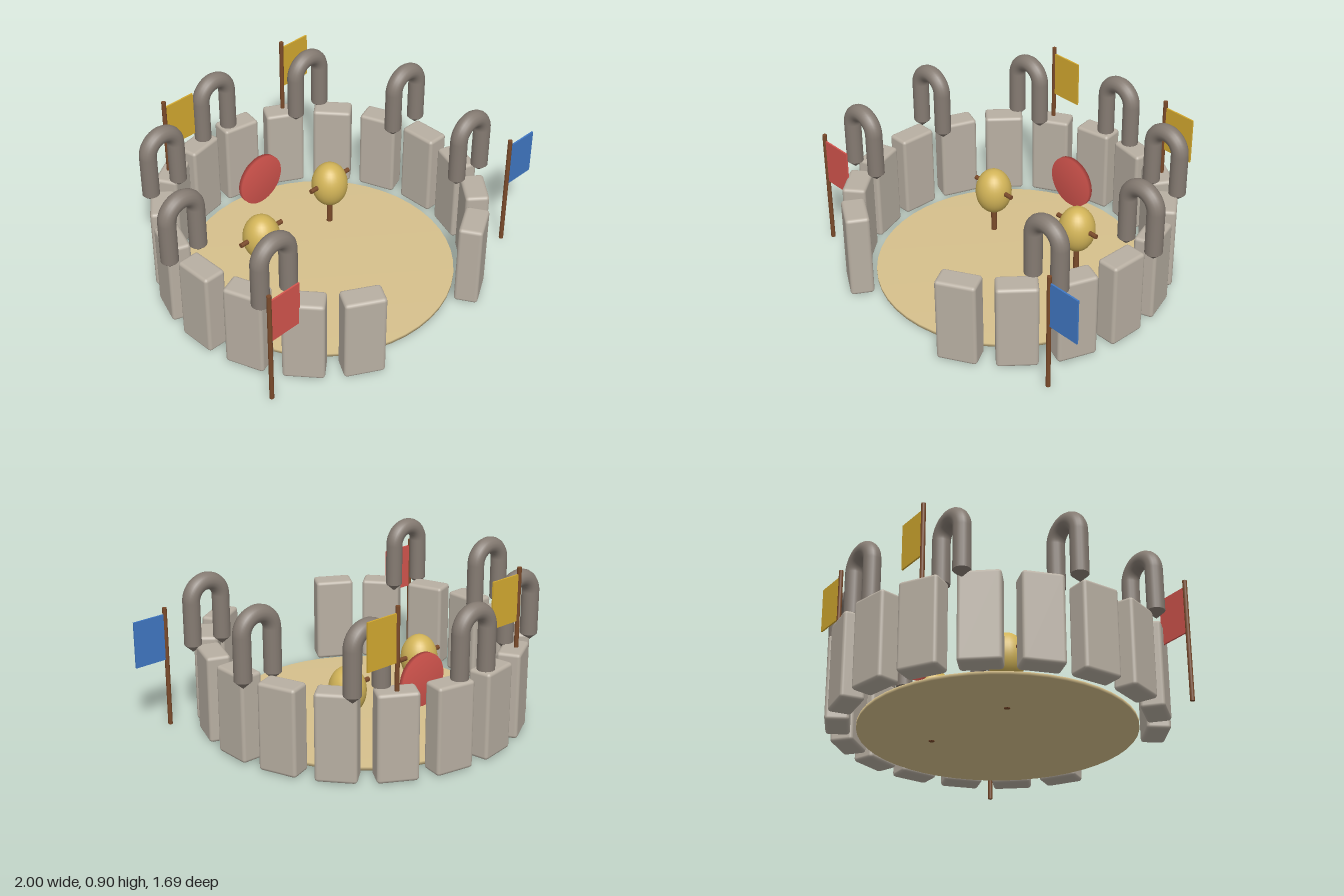
import * as THREE from 'three';
import { mergeGeometries } from 'three/addons/utils/BufferGeometryUtils.js';
import { RoundedBoxGeometry } from 'three/addons/geometries/RoundedBoxGeometry.js';

const material = (name, color) => {
  const m = new THREE.MeshStandardMaterial({ color });
  m.name = name;
  return m;
};

export function createModel() {
  const stone = material('pale stone', 0xb8afa2);
  const iron = material('grey hoop', 0x857b72);
  const sand = material('sand', 0xd6c08c);
  const straw = material('straw', 0xd2b458);
  const wood = material('brown wood', 0x7a4a2a);
  const red = material('red', 0xd4554e);
  const blue = material('blue', 0x4078c4);
  const gold = material('gold', 0xd4aa30);

  const model = new THREE.Group();
  model.name = 'arena';
  const CX = -0.062, CZ = 0.03, RING = 0.815;

  const add = (parent, name, geometry, mat, x = 0, y = 0, z = 0) => {
    const mesh = new THREE.Mesh(geometry, mat);
    mesh.name = name;
    mesh.position.set(x, y, z);
    parent.add(mesh);
    return mesh;
  };
  const group = (name, x, y, z) => {
    const g = new THREE.Group();
    g.name = name;
    g.position.set(x, y, z);
    model.add(g);
    return g;
  };
  // Point on the ring; 0 degrees is +x and 90 degrees is the front
  const onRing = (deg) => {
    const a = THREE.MathUtils.degToRad(deg);
    return [CX + RING * Math.cos(a), CZ + RING * Math.sin(a), a];
  };
  // Thin disc with softly shaded rim, base at y = 0
  const softDisc = (radius, thickness, segments) => new THREE.LatheGeometry([
    new THREE.Vector2(0, 0), new THREE.Vector2(radius, 0),
    new THREE.Vector2(radius, thickness), new THREE.Vector2(0, thickness),
  ], segments);

  // Arena floor
  add(model, 'floor', softDisc(0.72, 0.018, 48), sand, CX, 0.002, CZ);

  // Wall stones every 20 degrees, leaving a gateway at the front
  const block = new RoundedBoxGeometry(0.126, 0.47, 0.212, 2, 0.018);
  for (let deg = -100; deg <= 240; deg += 20) {
    if (deg === 80 || deg === 100) continue;
    const [x, z, a] = onRing(deg);
    add(model, 'wallStone', block, stone, x, 0.24, z).rotation.y = -a;
  }

  // Hoops over the gaps: half ring, two legs, pointed feet
  const T = 0.046, R = 0.092, SPRING = 0.707, LEG = 0.475;
  const hoopParts = [new THREE.TorusGeometry(R, T, 16, 24, Math.PI).translate(0, SPRING, 0)];
  for (const side of [-1, 1]) {
    hoopParts.push(
      new THREE.CylinderGeometry(T, T, SPRING - LEG, 16, 1, true)
        .translate(side * R, (SPRING + LEG) / 2, 0),
      new THREE.ConeGeometry(T, 0.042, 16, 1, true).rotateX(Math.PI)
        .translate(side * R, LEG - 0.021, 0));
  }
  const hoop = mergeGeometries(hoopParts);
  for (let deg = -210; deg <= 30; deg += 40) {
    const [x, z] = onRing(deg);
    add(model, 'hoop', hoop, iron, x, 0, z);
  }

  // Training dummies: body on a post with a crossbar
  const body = new THREE.SphereGeometry(0.1, 28, 20).scale(1, 1.3, 1);
  for (const [x, z] of [[-0.35, -0.112], [0.228, -0.185]]) {
    const dummy = group('dummy', x, 0, z);
    add(dummy, 'post', new THREE.CylinderGeometry(0.016, 0.016, 0.24, 12), wood, 0, 0.12, 0);
    add(dummy, 'body', body, straw, 0, 0.275, 0);
    add(dummy, 'crossbar', new THREE.CylinderGeometry(0.013, 0.013, 0.29, 12).rotateZ(Math.PI / 2),
      wood, 0, 0.295, 0);
  }

  // Round target facing the gateway
  add(model, 'target', softDisc(0.144, 0.024, 40).rotateX(Math.PI / 2), red, CX, 0.33, -0.442);

  // Flags: two at the gateway, two on the rear wall
  const pole = new THREE.CylinderGeometry(0.012, 0.012, 0.655, 12);
  const cloth = new THREE.BoxGeometry(0.182, 0.25, 0.009);
  const flags = [
    [-0.93, 0, 0.576, red], [0.808, 0, 0.576, blue],
    [-0.478, 0.25, -0.69, gold], [0.356, 0.25, -0.69, gold],
  ];
  for (const [x, y, z, mat] of flags) {
    const flag = group('flag', x, y, z);
    add(flag, 'pole', pole, wood, 0, 0.3275, 0);
    add(flag, 'cloth', cloth, mat, 0.1, 0.495, 0);
  }
  return model;
}
